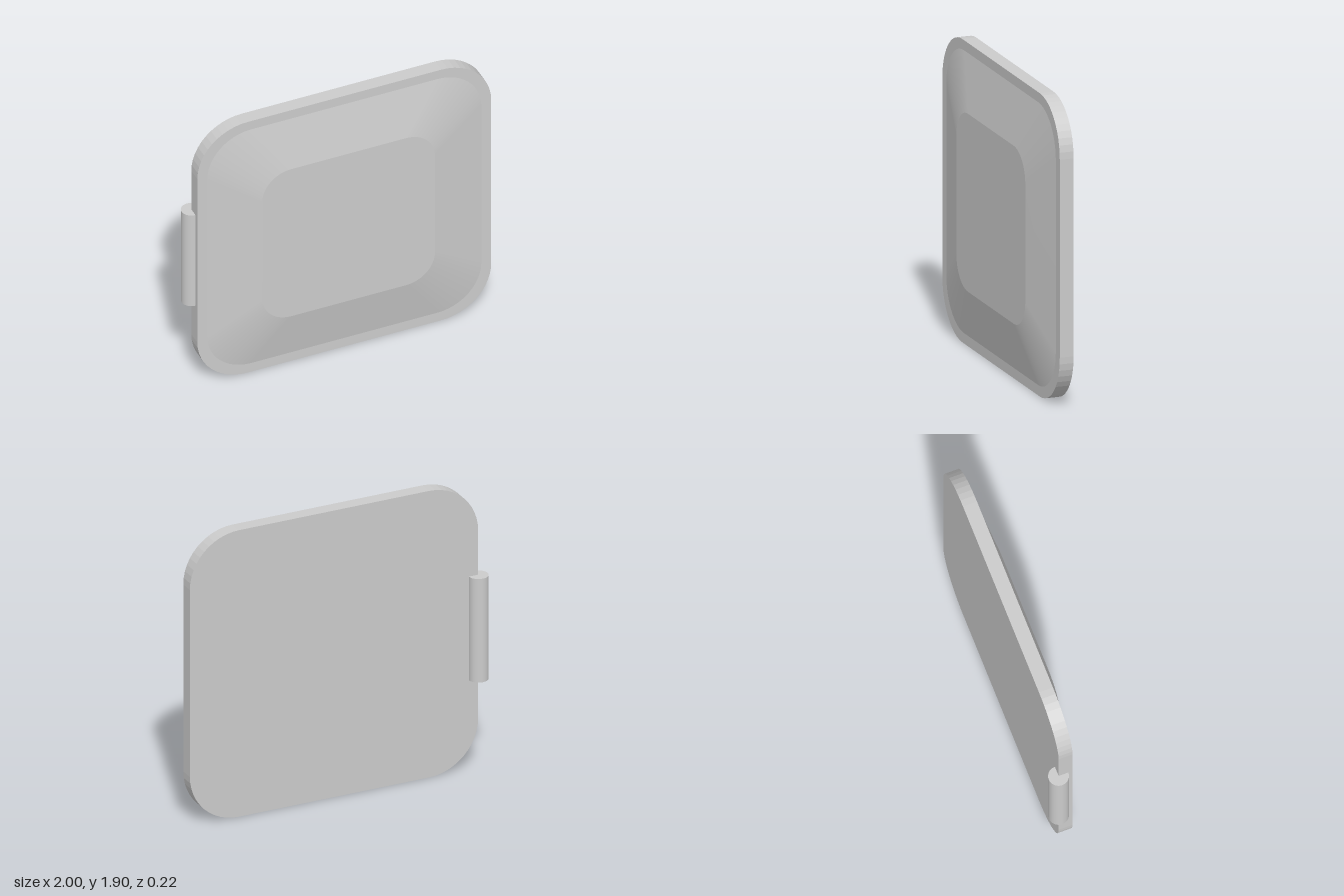
import * as THREE from 'three';

const CORNER_STEPS = 12;

// Counter-clockwise outline of a rounded rectangle
function roundedRect(x0, x1, y0, y1, r) {
  const corners = [[x1 - r, y1 - r], [x0 + r, y1 - r], [x0 + r, y0 + r], [x1 - r, y0 + r]];
  const points = [];
  corners.forEach(([cx, cy], quarter) => {
    for (let i = 0; i <= CORNER_STEPS; i++) {
      const a = (quarter + i / CORNER_STEPS) * Math.PI / 2;
      points.push(new THREE.Vector2(cx + r * Math.cos(a), cy + r * Math.sin(a)));
    }
  });
  return points;
}

// Sloping band between two outlines with the same point count
function band(lower, z0, upper, z1) {
  const n = lower.length, positions = [], index = [];
  for (let i = 0; i < n; i++) {
    positions.push(lower[i].x, lower[i].y, z0, upper[i].x, upper[i].y, z1);
    const a = 2 * i, b = 2 * ((i + 1) % n);
    index.push(a, b, b + 1, a, b + 1, a + 1);
  }
  const geometry = new THREE.BufferGeometry();
  geometry.setAttribute('position', new THREE.Float32BufferAttribute(positions, 3));
  geometry.setIndex(index);
  geometry.computeVertexNormals();
  return geometry;
}

export function createModel() {
  const group = new THREE.Group();
  const material = new THREE.MeshStandardMaterial({ color: 0xcccccc });
  const add = (name, geometry, x = 0, y = 0, z = 0) => {
    const mesh = new THREE.Mesh(geometry, material);
    mesh.name = name;
    mesh.position.set(x, y, z);
    group.add(mesh);
  };

  // Flat door slab with rounded corners
  const slab = new THREE.Shape(roundedRect(-0.937, 1, 0, 1.9, 0.33));
  add('doorSlab', new THREE.ExtrudeGeometry(slab, { depth: 0.09, bevelEnabled: false }), 0, 0, -0.046);

  // Raised front: sloping sides and a flat centre
  const base = roundedRect(-0.872, 0.935, 0.065, 1.837, 0.29);
  const top = roundedRect(-0.538, 0.6, 0.393, 1.508, 0.19);
  add('raisedPanelSlope', band(base, 0.044, top, 0.11));
  add('raisedPanelCentre', new THREE.ShapeGeometry(new THREE.Shape(top)), 0, 0, 0.11);

  // Hinge barrel on the back edge
  add('hingeBarrel', new THREE.CylinderGeometry(0.063, 0.063, 0.687, 32), -0.937, 0.934, -0.047);

  return group;
}
